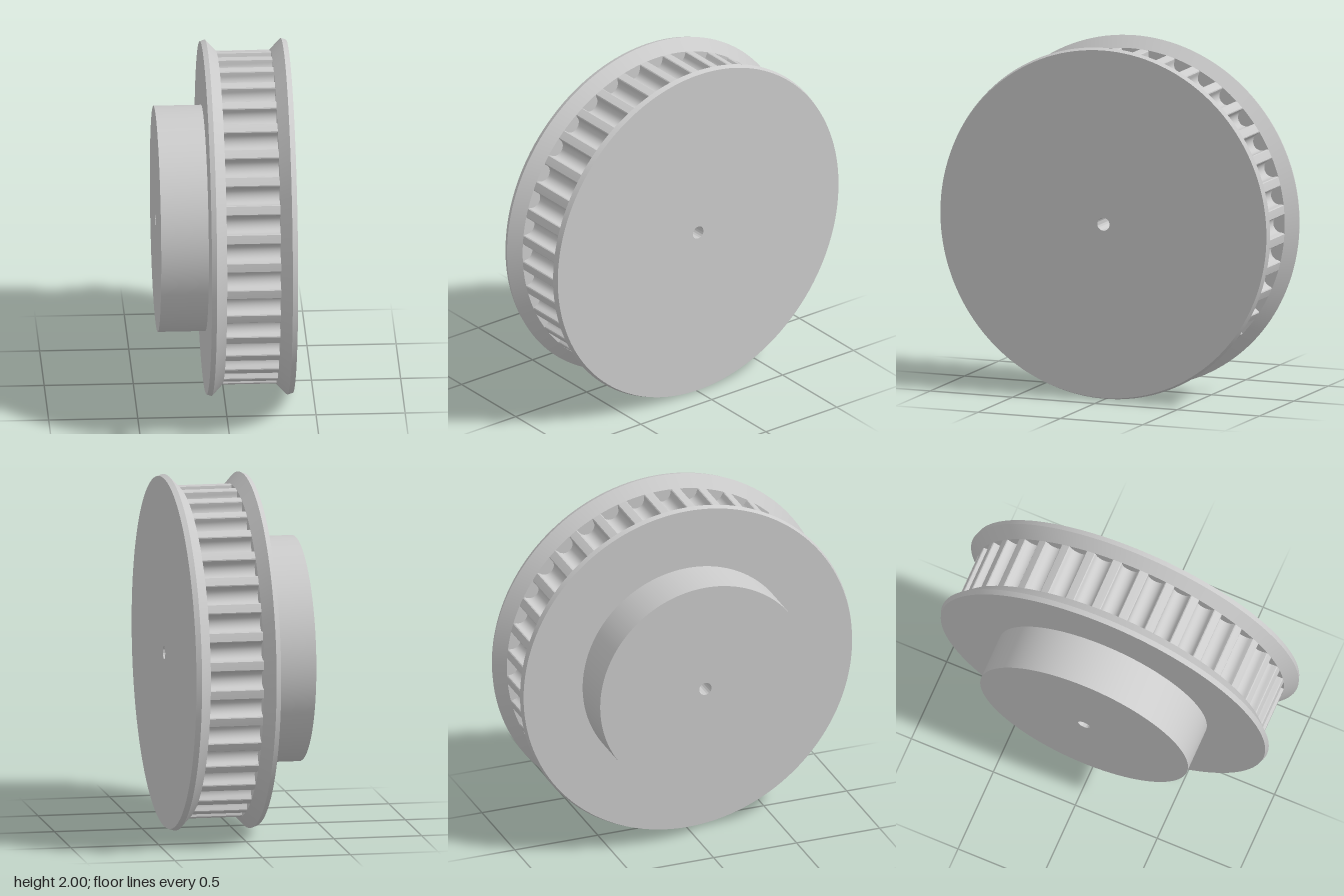
import * as THREE from 'three';
import { toCreasedNormals } from 'three/addons/utils/BufferGeometryUtils.js';

const TEETH = 36;
const R_OUT = 0.936;   // tooth tip radius
const BORE = 0.037;
const X0 = -0.02, X1 = 0.283; // toothed width between the flanges

export function createModel() {
  const group = new THREE.Group();
  const material = new THREE.MeshStandardMaterial({ color: 0xcccccc });
  const add = (name, geometry) => {
    const mesh = new THREE.Mesh(toCreasedNormals(geometry, 0.5), material);
    mesh.name = name;
    group.add(mesh);
  };

  // Hub, two flared flanges and through bore, turned as one body (radius, x)
  const profile = [
    [BORE, -0.375], [0.634, -0.375], [0.634, -0.108],   // hub
    [0.99, -0.108], [1, -0.08], [R_OUT, X0],            // hub-side flange
    [0.84, X0], [0.84, X1],                             // core under the teeth
    [R_OUT, X1], [1, 0.345], [0.99, 0.375],             // outer flange
    [BORE, 0.375], [BORE, -0.375],                      // bore
  ].map(([r, x]) => new THREE.Vector2(r, x));
  const body = new THREE.LatheGeometry(profile, 144);
  body.rotateZ(-Math.PI / 2);
  add('hubAndFlanges', body);

  // One groove as (sideways offset, radius): rounded lip, then a round bottom
  const groove = [[-0.058, R_OUT - 0.002], [-0.053, R_OUT - 0.006]];
  for (let i = 0; i <= 12; i++) {
    const a = Math.PI * (1 + i / 12);
    groove.push([0.05 * Math.cos(a), R_OUT - 0.019 + 0.05 * Math.sin(a)]);
  }
  groove.push([0.053, R_OUT - 0.006], [0.058, R_OUT - 0.002]);

  // Toothed ring: the groove repeated around the rim
  const points = [];
  for (let t = 0; t < TEETH; t++) {
    const a = (t / TEETH) * Math.PI * 2;
    const c = Math.cos(a), s = Math.sin(a);
    for (const [u, r] of groove) points.push(new THREE.Vector2(r * c - u * s, r * s + u * c));
    const mid = a + Math.PI / TEETH; // middle of the tooth tip
    points.push(new THREE.Vector2(R_OUT * Math.cos(mid), R_OUT * Math.sin(mid)));
  }
  const ring = new THREE.Shape(points);
  ring.holes.push(new THREE.Path().absarc(0, 0, 0.82, 0, Math.PI * 2, true));
  const teeth = new THREE.ExtrudeGeometry(ring, {
    depth: X1 - X0 + 0.004, bevelEnabled: false, curveSegments: 48,
  });
  teeth.rotateY(Math.PI / 2);
  teeth.translate(X0 - 0.002, 0, 0);
  add('toothedRing', teeth);

  group.position.y = 1;
  return group;
}
